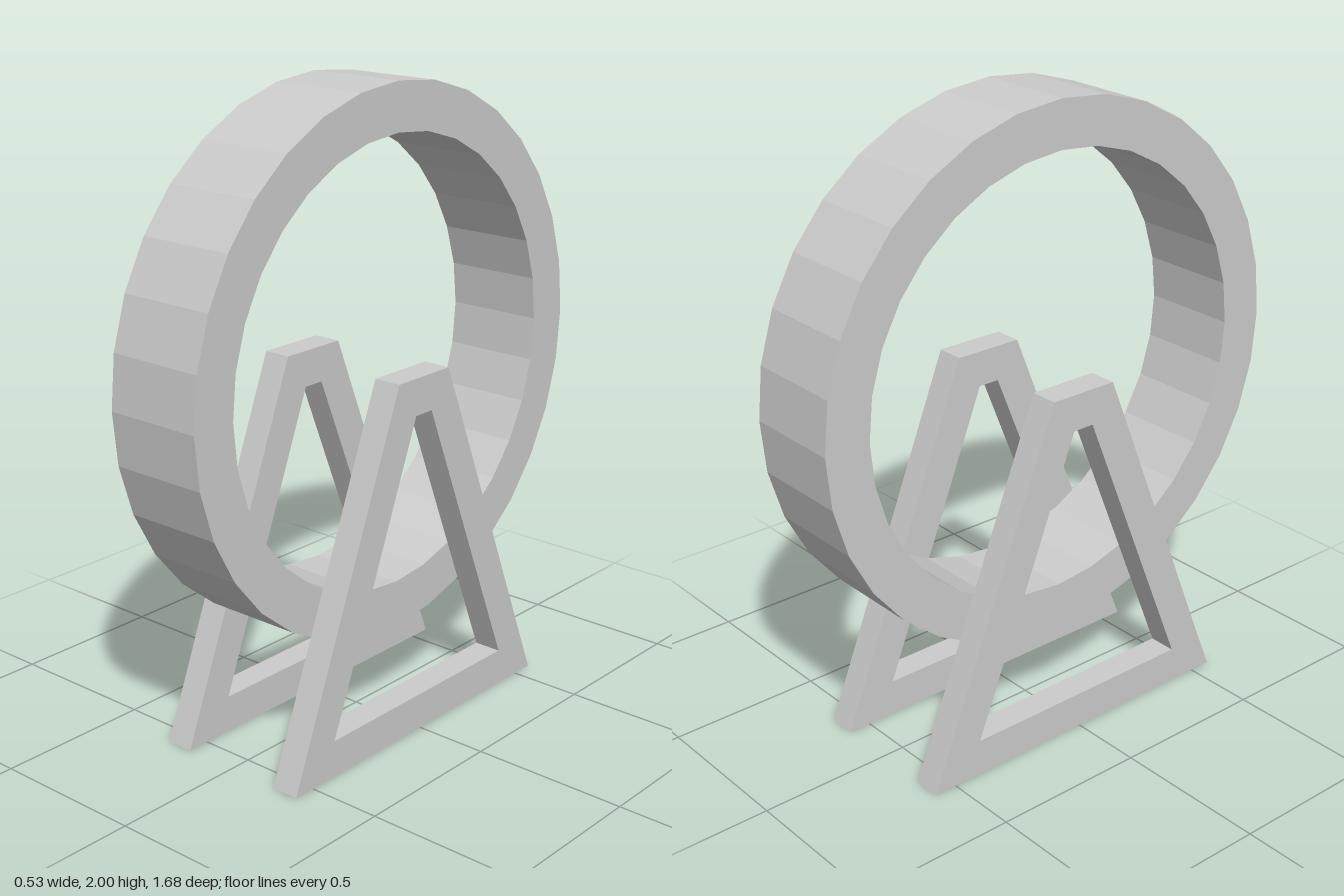
import * as THREE from 'three';

const material = new THREE.MeshStandardMaterial({ color: 0xcccccc, flatShading: true });

// Extrudes an outline with one hole (counter-clockwise points [z, y]) across x, centred on x = 0
function plate(name, outer, inner, width) {
  const toPoints = (list) => list.map(([z, y]) => new THREE.Vector2(z, y));
  const shape = new THREE.Shape(toPoints(outer));
  shape.holes.push(new THREE.Path(toPoints(inner)));
  const geometry = new THREE.ExtrudeGeometry(shape, { depth: width, bevelEnabled: false });
  geometry.translate(0, 0, -width / 2).rotateY(Math.PI / 2);
  const mesh = new THREE.Mesh(geometry, material);
  mesh.name = name;
  return mesh;
}

// Regular polygon with a corner straight up, counter-clockwise
function polygon(radius, sides) {
  return Array.from({ length: sides }, (_, i) => {
    const a = (i / sides) * Math.PI * 2;
    return [-radius * Math.sin(a), radius * Math.cos(a)];
  });
}

// Symmetric trapezoid, counter-clockwise
function trapezoid(bottomY, bottomHalf, topY, topHalf) {
  return [[-bottomHalf, bottomY], [bottomHalf, bottomY], [topHalf, topY], [-topHalf, topY]];
}

export function createModel() {
  const model = new THREE.Group();
  model.name = 'wheelOnStand';

  // Wheel: a faceted open ring
  const wheel = plate('wheelRing', polygon(0.842, 32), polygon(0.694, 32), 0.32);
  wheel.position.y = 1.158;
  model.add(wheel);

  // A-shaped support on each side of the wheel
  for (const [name, side] of [['leftSupport', 1], ['rightSupport', -1]]) {
    const support = plate(
      name,
      trapezoid(0, 0.573, 1.148, 0.115),
      trapezoid(0.117, 0.404, 1.033, 0.036),
      0.091
    );
    support.position.x = side * 0.2185;
    model.add(support);
  }
  return model;
}
